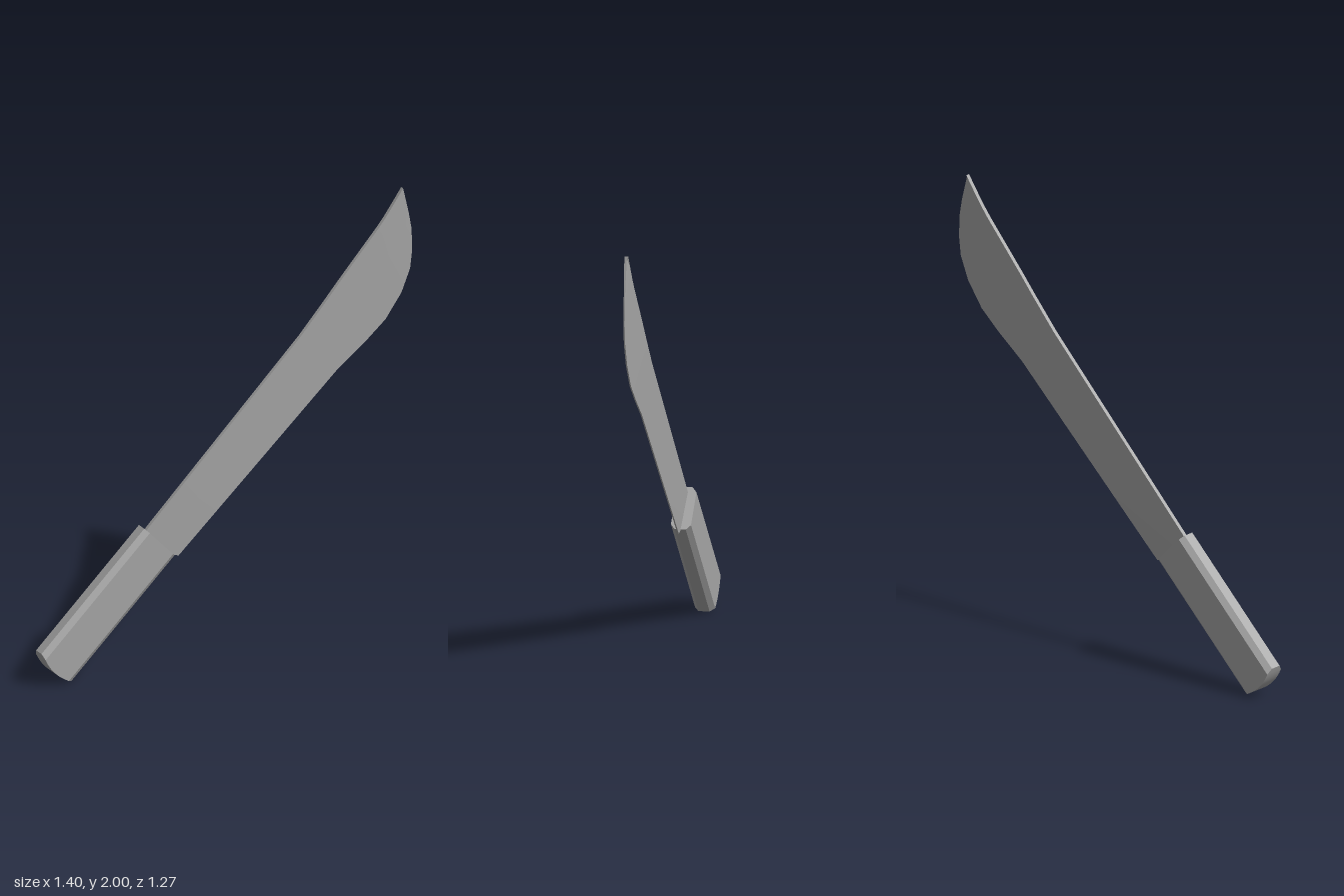
import * as THREE from 'three';
import { toCreasedNormals } from 'three/addons/utils/BufferGeometryUtils.js';

// Move every vertex of a geometry by a rule, then keep hard edges crisp.
function reshape(geometry, rule) {
  const p = geometry.attributes.position;
  for (let i = 0; i < p.count; i++) {
    p.setXYZ(i, ...rule(p.getX(i), p.getY(i), p.getZ(i)));
  }
  return toCreasedNormals(geometry, 0.4);
}

// Blade outline: matching points on the spine and the cutting edge, heel to tip.
const SPINE = [
  [-0.41, 0.6], [-0.38, 0.64], [0, 1.02], [0.377, 1.397], [0.5, 1.535], [0.568, 1.614],
  [0.65, 1.706], [0.71, 1.773], [0.761, 1.83], [0.8, 1.878], [0.845, 1.94], [0.887, 2],
];
const EDGE = [
  [-0.3, 0.5], [-0.225, 0.48], [0.2, 0.871], [0.568, 1.21], [0.704, 1.312], [0.803, 1.397],
  [0.882, 1.508], [0.925, 1.614], [0.935, 1.7], [0.932, 1.8], [0.918, 1.878], [0.889, 1.99],
];

function bladeGeometry() {
  const n = SPINE.length - 1;
  // Wedge section: thick at the spine, thin at the cutting edge.
  return reshape(new THREE.BoxGeometry(1, 1, 1, n, 1, 1), (x, y, z) => {
    const i = Math.round((x + 0.5) * n);
    const [px, py] = y > 0 ? SPINE[i] : EDGE[i];
    return [px, py, Math.sign(z) * (y > 0 ? 0.009 : 0.003)];
  });
}

function gripGeometry() {
  const length = 0.71, half = 0.1075, chamfer = 0.024, rows = 10;
  // Chamfered bar with a bowed butt end.
  return reshape(new THREE.BoxGeometry(2, 2, 2, 1, rows, 1), (x, y, z) => {
    const outer = Math.abs(y) > 0.99;
    const w = outer ? Math.sign(y) * half : (y / (1 - 2 / rows)) * (half - chamfer);
    const bow = 0.025 * (1 - (w / half) ** 2);
    return [
      x > 0 ? length / 2 : -length / 2 - bow,
      w,
      Math.sign(z) * (outer ? 0.025 : 0.045),
    ];
  });
}

export function createModel() {
  const steel = new THREE.MeshStandardMaterial({ color: 0xa6a6a6 });
  steel.name = 'grey steel';

  const model = new THREE.Group();
  model.name = 'machete';

  // The whole knife stands diagonally in a vertical plane.
  const knife = new THREE.Group();
  knife.name = 'knife';
  knife.rotation.y = THREE.MathUtils.degToRad(42);
  model.add(knife);

  const blade = new THREE.Mesh(bladeGeometry(), steel);
  blade.name = 'blade';
  blade.position.z = -0.003;

  const handle = new THREE.Mesh(gripGeometry(), steel);
  handle.name = 'handle';
  handle.position.set(-0.587, 0.324, -0.005);
  handle.rotation.z = THREE.MathUtils.degToRad(44);

  knife.add(blade, handle);
  return model;
}
